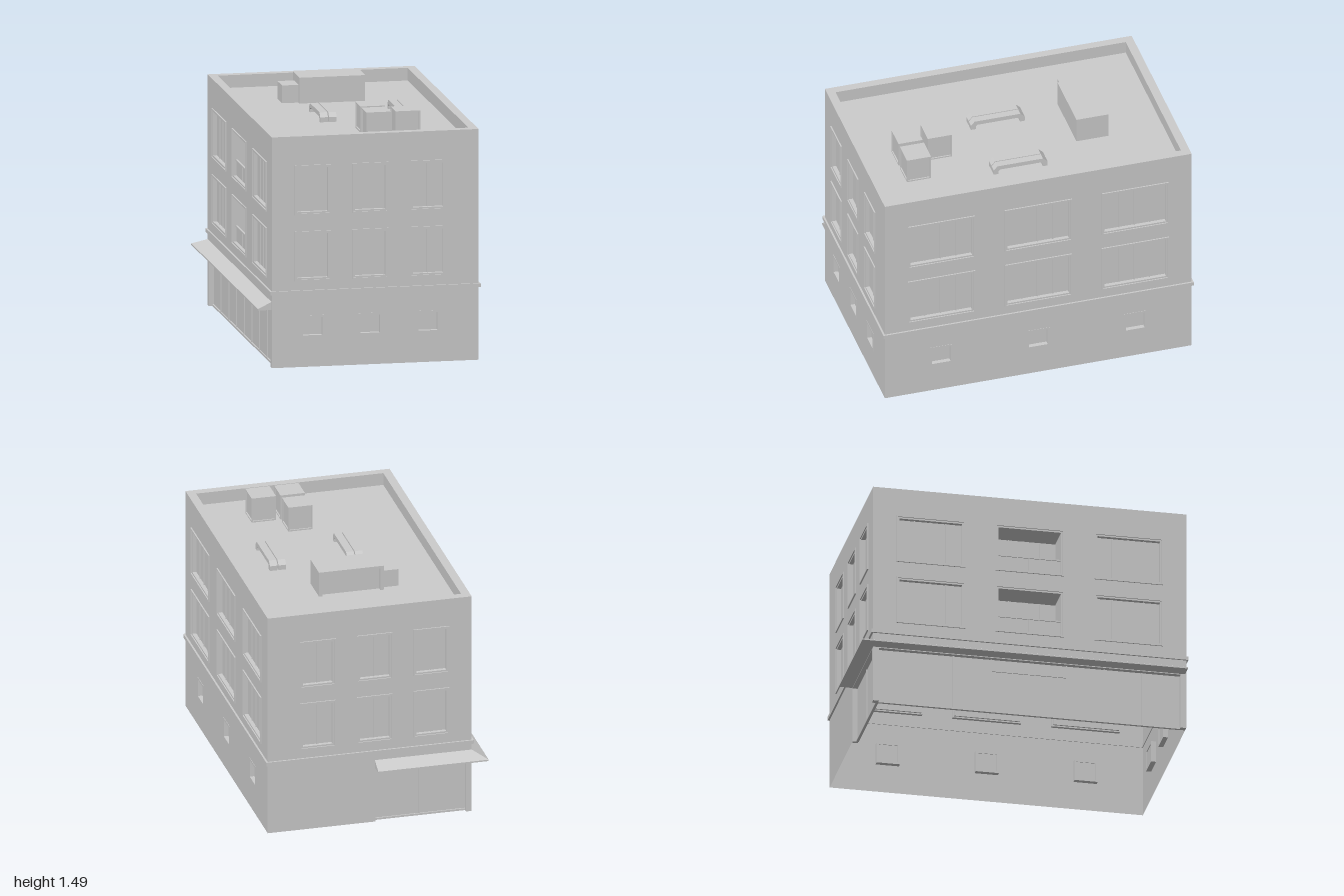
import * as THREE from 'three';

const material = new THREE.MeshStandardMaterial({ color: 0xcccccc, flatShading: true, side: THREE.DoubleSide });

// Building shell limits
const X0 = -0.598, X1 = 0.661, Z0 = -0.917, Z1 = 0.992, TOP = 1.405, ROOF = 1.328;
const CX = (X0 + X1) / 2, CZ = (Z0 + Z1) / 2, W = X1 - X0, L = Z1 - Z0;
const SHOP_TOP = 0.36;

function add(parent, name, geometry) {
  const m = new THREE.Mesh(geometry, material);
  m.name = name;
  parent.add(m);
  return m;
}

// Box given by its limits
function box(parent, name, x0, x1, y0, y1, z0, z1) {
  const m = add(parent, name, new THREE.BoxGeometry(x1 - x0, y1 - y0, z1 - z0));
  m.position.set((x0 + x1) / 2, (y0 + y1) / 2, (z0 + z1) / 2);
  return m;
}

function rect(Type, cx, cy, w, h) {
  const s = new Type();
  s.moveTo(cx - w / 2, cy - h / 2);
  s.lineTo(cx + w / 2, cy - h / 2);
  s.lineTo(cx + w / 2, cy + h / 2);
  s.lineTo(cx - w / 2, cy + h / 2);
  s.closePath();
  return s;
}

// Rectangular ring of border b reaching from depth d0 to d1
function frame(parent, name, cx, cy, w, h, b, d0, d1) {
  const s = rect(THREE.Shape, cx, cy, w, h);
  s.holes.push(rect(THREE.Path, cx, cy, w - 2 * b, h - 2 * b));
  const m = add(parent, name, new THREE.ExtrudeGeometry(s, { depth: d1 - d0, bevelEnabled: false }));
  m.position.z = d0;
  return m;
}

// Pane of glass divided by slim upright bars
function glazing(parent, cx, cy, w, h, depth, panes, bar) {
  const glass = add(parent, 'glass', new THREE.PlaneGeometry(w, h));
  glass.position.set(cx, cy, depth);
  for (let i = 1; i < panes; i++) {
    const x = cx - w / 2 + (w * i) / panes;
    box(parent, 'mullion', x - bar / 2, x + bar / 2, cy - h / 2, cy + h / 2, depth - 0.006, depth + 0.006);
  }
}

function bigWindow(parent, cx, cy, w, h, panes) {
  const g = new THREE.Group();
  g.name = 'window';
  parent.add(g);
  frame(g, 'casing', cx, cy, w, h, 0.008, -0.02, 0.008);
  frame(g, 'windowFrame', cx, cy, w - 0.016, h - 0.016, 0.01, -0.03, 0.001);
  glazing(g, cx, cy, w - 0.036, h - 0.036, -0.024, panes, 0.006);
}

function smallWindow(parent, cx, cy, w, h) {
  const g = new THREE.Group();
  g.name = 'smallWindow';
  parent.add(g);
  frame(g, 'smallWindowFrame', cx, cy, w, h, 0.013, -0.03, 0.002);
  glazing(g, cx, cy, w - 0.026, h - 0.026, -0.026, 1, 0);
}

// Recessed balcony behind a framed opening, with a low glazed rail
function balcony(parent, cx, cy, w, h) {
  const g = new THREE.Group();
  g.name = 'balcony';
  parent.add(g);
  frame(g, 'casing', cx, cy, w, h, 0.008, -0.02, 0.008);
  frame(g, 'windowFrame', cx, cy, w - 0.016, h - 0.016, 0.01, -0.03, 0.001);
  const iw = w - 0.036, ih = h - 0.036, x = iw / 2, y0 = cy - ih / 2;
  frame(g, 'balconyRecess', cx, cy, iw + 0.008, ih + 0.008, 0.004, -0.17, -0.02);
  glazing(g, cx, cy, iw, ih, -0.168, 4, 0.006);
  glazing(g, cx, y0 + 0.045, iw, 0.09, -0.02, 2, 0.006);
  box(g, 'handrail', cx - x, cx + x, y0 + 0.088, y0 + 0.096, -0.026, -0.014);
}

// One outer wall in its own frame: x along, y up, z outward
function wall(root, { name, width, pos, turn, bays, winW, panes, shop, small = true, balconyBay = -1 }) {
  const g = new THREE.Group();
  g.name = name;
  g.position.set(pos[0], 0, pos[1]);
  g.rotation.y = turn;
  root.add(g);

  const s = new THREE.Shape(), a = width / 2;
  s.moveTo(-a, TOP);
  s.lineTo(-a, 0);
  if (shop) {
    s.lineTo(shop[0], 0);
    s.lineTo(shop[0], SHOP_TOP);
    s.lineTo(shop[1], SHOP_TOP);
    s.lineTo(shop[1], 0);
  }
  s.lineTo(a, 0);
  s.lineTo(a, TOP);
  s.closePath();

  bays.forEach((u, i) => {
    for (const y of [0.675, 1.077]) {
      s.holes.push(rect(THREE.Path, u, y, winW - 0.008, 0.295));
      if (i === balconyBay) balcony(g, u, y, winW, 0.303);
      else bigWindow(g, u, y, winW, 0.303, panes);
    }
    if (small) {
      s.holes.push(rect(THREE.Path, u, 0.246, 0.136, 0.128));
      smallWindow(g, u, 0.246, 0.142, 0.134);
    }
  });
  add(g, 'wallFace', new THREE.ShapeGeometry(s));
  box(g, 'beltCourse', -a - 0.011, a + 0.011, 0.444, 0.467, -0.004, 0.011);
  return g;
}

// Shop front set back under the canopy
function shopFront(g, u0, u1, panes) {
  const cx = (u0 + u1) / 2, w = u1 - u0, depth = -0.03;
  glazing(g, cx, SHOP_TOP / 2, w, SHOP_TOP, depth, panes, 0.008);
  box(g, 'shopSill', u0, u1, 0, 0.012, depth - 0.008, depth + 0.008);
  box(g, 'shopHead', u0, u1, SHOP_TOP - 0.012, SHOP_TOP, depth - 0.008, 0);
}

// Sloping canopy along a wall, mitred at one end (side = -1 or 1)
function canopy(g, u0, u1, side) {
  const s = new THREE.Shape([[0, 0.353], [0.083, 0.353], [0.083, 0.362], [0, 0.402]].map(p => new THREE.Vector2(...p)));
  const geo = new THREE.ExtrudeGeometry(s, { depth: u1 - u0, bevelEnabled: false });
  geo.rotateY(-Math.PI / 2); // profile now points along +z, length along -x
  geo.translate(u1, 0, 0);
  const p = geo.attributes.position, mid = (u0 + u1) / 2;
  for (let i = 0; i < p.count; i++) {
    if ((p.getX(i) - mid) * side > 0) p.setX(i, p.getX(i) + side * p.getZ(i));
  }
  geo.computeVertexNormals();
  add(g, 'canopy', geo);
}

// Cube-shaped cooling unit with recessed side panels
function coolingUnit(root, x, z) {
  const g = new THREE.Group(), s = 0.15, h = 1.485 - ROOF;
  g.name = 'coolingUnit';
  g.position.set(x, ROOF + h / 2, z);
  root.add(g);
  add(g, 'unitCore', new THREE.BoxGeometry(s - 0.016, h - 0.004, s - 0.016));
  box(g, 'unitLid', -s / 2, s / 2, h / 2 - 0.008, h / 2, -s / 2, s / 2);
  for (let i = 0; i < 4; i++) {
    const side = new THREE.Group();
    side.name = 'unitSide';
    side.rotation.y = (i * Math.PI) / 2;
    g.add(side);
    frame(side, 'unitSideFrame', 0, 0, s, h, 0.008, s / 2 - 0.008, s / 2);
  }
}

// Flat duct that rises from the roof and bends back down
function duct(root, x) {
  const r = ROOF, pts = [[-0.09, r], [-0.09, r + 0.03], [-0.062, r + 0.056], [0.222, r + 0.056], [0.245, r + 0.03],
    [0.245, r], [0.215, r], [0.215, r + 0.02], [0.205, r + 0.03], [-0.048, r + 0.03], [-0.06, r + 0.02], [-0.06, r]];
  const s = new THREE.Shape(pts.map(([z, y]) => new THREE.Vector2(-z, y)));
  const geo = new THREE.ExtrudeGeometry(s, { depth: 0.047, bevelEnabled: false });
  geo.rotateY(Math.PI / 2);
  add(root, 'roofDuct', geo).position.x = x;
}

export function createModel() {
  const root = new THREE.Group();
  root.name = 'building';

  // Four walls
  const cols = [-0.349, 0.001, 0.353].map(x => x - CX), sideCols = [-0.603, 0, 0.603];
  const end = { width: W, bays: cols, winW: 0.22, panes: 2 };
  const long = { width: L, bays: sideCols, winW: 0.418, panes: 4 };
  wall(root, { ...end, name: 'frontWall', pos: [CX, Z1], turn: 0 });
  wall(root, { ...long, name: 'leftWall', pos: [X1, CZ], turn: Math.PI / 2 });
  const bs = [CX, W / 2 - 0.035], ls = [-L / 2 + 0.035, L / 2 - 0.035];
  const back = wall(root, { ...end, name: 'backWall', pos: [CX, Z0], turn: Math.PI, bays: cols.map(u => -u), small: false, shop: bs });
  const right = wall(root, { ...long, name: 'shopWall', pos: [X0, CZ], turn: -Math.PI / 2, small: false, shop: ls, balconyBay: 1 });

  // Shop fronts, door transoms and canopies
  shopFront(back, bs[0], bs[1], 2);
  shopFront(right, ls[0], ls[1], 8);
  const bay = (ls[1] - ls[0]) / 8;
  box(right, 'doorTransom', -bay, bay, 0.27, 0.278, -0.036, -0.024);
  canopy(back, CX, W / 2, 1);
  canopy(right, -L / 2, L / 2 - 0.007, -1);

  // Posts at the ends of the shop fronts
  box(root, 'cornerPost', X0, X0 + 0.035, 0, SHOP_TOP, Z0, Z0 + 0.035);
  box(root, 'endPost', X0, X0 + 0.035, 0, SHOP_TOP, Z1 - 0.035, Z1 - 0.001);
  box(root, 'backPost', -0.005, 0.015, 0, SHOP_TOP, Z0, Z0 + 0.035);

  // Sunken roof and parapet
  const roof = add(root, 'roofDeck', new THREE.PlaneGeometry(W - 0.01, L - 0.01));
  roof.rotation.x = -Math.PI / 2;
  roof.position.set(CX, ROOF, CZ);
  const parapet = frame(root, 'parapet', CX, -CZ, W, L, 0.052, 0, TOP - ROOF);
  parapet.rotation.x = -Math.PI / 2;
  parapet.position.y = ROOF;

  // Rooftop equipment
  for (const [x, z] of [[0.1, 0.506], [0.1, 0.688], [0.278, 0.688]]) coolingUnit(root, x, z);
  for (const x of [-0.15, -0.097, 0.327, 0.38]) duct(root, x);
  box(root, 'airHandler', -0.16, 0.24, ROOF, 1.485, -0.5, -0.325);
  box(root, 'airHandlerTop', -0.16, 0.24, 1.47, 1.485, -0.525, -0.5);
  for (const x of [-0.16, 0.218]) box(root, 'airHandlerLeg', x, x + 0.022, ROOF, 1.47, -0.525, -0.5);
  box(root, 'airHandlerBox', -0.26, -0.16, ROOF, 1.436, -0.49, -0.355);
  return root;
}
